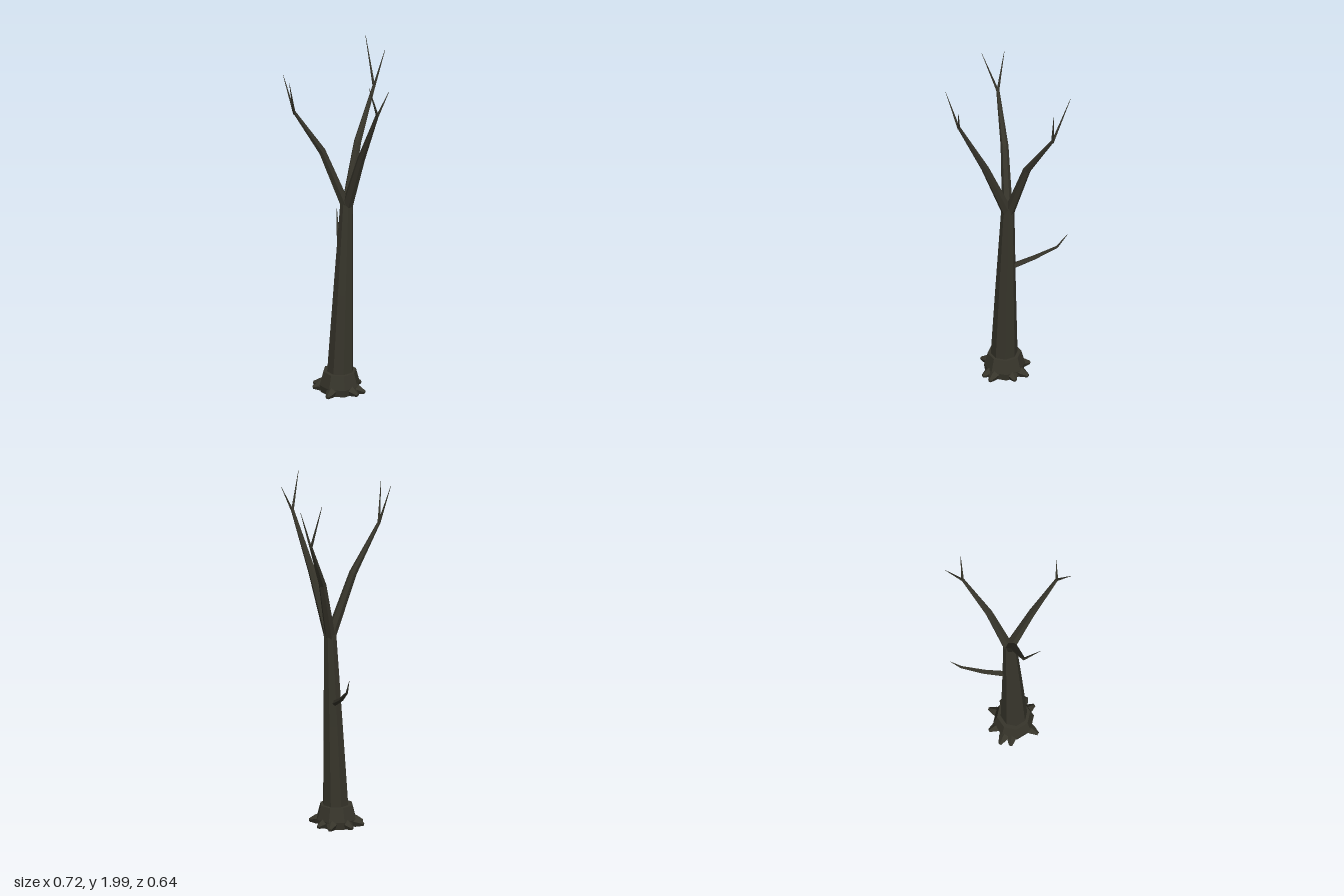
import * as THREE from 'three';

const bark = new THREE.MeshStandardMaterial({ color: 0x37352b });
bark.name = 'darkBark';

// Faceted limb swept through points [x, y, z, radius], capped at both ends
function limb(name, points, sides = 6, ref = new THREE.Vector3(1, 0, 0), phase = 0) {
  const centres = points.map(p => new THREE.Vector3(p[0], p[1], p[2]));
  const last = points.length - 1;
  const positions = [];
  centres.forEach((c, k) => {
    const t = centres[Math.min(k + 1, last)].clone().sub(centres[Math.max(k - 1, 0)]).normalize();
    const u = ref.clone().addScaledVector(t, -ref.dot(t)).normalize();
    const v = t.clone().cross(u);
    for (let i = 0; i < sides; i++) {
      const a = phase + (i / sides) * Math.PI * 2;
      const p = c.clone().addScaledVector(u, Math.cos(a) * points[k][3]).addScaledVector(v, Math.sin(a) * points[k][3]);
      positions.push(p.x, p.y, p.z);
    }
  });
  const index = [];
  for (let k = 0; k < last; k++) {
    for (let i = 0; i < sides; i++) {
      const j = (i + 1) % sides;
      const a = k * sides + i, b = k * sides + j;
      index.push(a, b, b + sides, a, b + sides, a + sides);
    }
  }
  const top = last * sides;
  for (let i = 1; i < sides - 1; i++) {
    index.push(0, i + 1, i, top, top + i, top + i + 1);
  }
  const indexed = new THREE.BufferGeometry();
  indexed.setAttribute('position', new THREE.Float32BufferAttribute(positions, 3));
  indexed.setIndex(index);
  const geometry = indexed.toNonIndexed();
  geometry.computeVertexNormals();
  const mesh = new THREE.Mesh(geometry, bark);
  mesh.name = name;
  return mesh;
}

export function createModel() {
  const tree = new THREE.Group();
  tree.name = 'bareTree';
  const cx = -0.035, cz = -0.028;

  // Leaning, tapering trunk
  tree.add(limb('trunk', [
    [cx, 0.02, cz, 0.08],
    [-0.033, 0.13, -0.025, 0.075],
    [-0.014, 0.6, -0.024, 0.057],
    [0.012, 1.16, -0.024, 0.036],
  ], 8, undefined, Math.PI / 8));

  // Flared collar at the foot
  tree.add(limb('trunkFlare', [
    [cx, 0.008, cz, 0.108],
    [cx, 0.05, cz, 0.115],
    [cx, 0.13, cz, 0.094],
  ], 8, undefined, Math.PI / 8));

  // Short roots spreading from the collar, given by their tips
  const roots = new THREE.Group();
  roots.name = 'roots';
  const up = new THREE.Vector3(0, 1, 0);
  [
    [-0.11, -0.168], [-0.01, -0.175], [0.10, -0.105], [-0.15, -0.122], [-0.175, 0.043],
    [-0.02, 0.118], [0.04, 0.107], [0.105, -0.02],
  ].forEach(([x, z]) => {
    const at = f => [cx + (x - cx) * f, cz + (z - cz) * f];
    const [ix, iz] = at(0.45), [mx, mz] = at(0.75);
    roots.add(limb('root', [
      [ix, 0.04, iz, 0.038],
      [mx, 0.03, mz, 0.027],
      [x, 0.022, z, 0.01],
    ], 5, up));
  });
  tree.add(roots);

  // Three main boughs, each forking into two fine twigs
  const boughs = [
    { name: 'rightBough', path: [[0.006, 1.12, -0.024, 0.03], [-0.12, 1.47, -0.075, 0.022], [-0.28, 1.735, -0.12, 0.009]],
      tips: [[-0.36, 1.955, -0.062], [-0.315, 1.955, -0.18]] },
    { name: 'leftBough', path: [[0.016, 1.12, -0.03, 0.03], [0.13, 1.46, -0.08, 0.022], [0.298, 1.735, -0.15, 0.009]],
      tips: [[0.357, 1.945, -0.126], [0.317, 2.0, -0.254]] },
    { name: 'frontBough', path: [[0.012, 1.12, -0.02, 0.032], [0.006, 1.46, 0.118, 0.022], [-0.003, 1.79, 0.28, 0.009]],
      tips: [[-0.09, 1.99, 0.316], [0.053, 1.927, 0.312]] },
  ];
  for (const { name, path, tips } of boughs) {
    const group = new THREE.Group();
    group.name = name;
    group.add(limb('bough', path));
    const [x, y, z] = path[2];
    for (const tip of tips) group.add(limb('twig', [[x, y - 0.008, z, 0.008], [...tip, 0.001]], 5));
    tree.add(group);
  }

  // Lone side branch low on the back of the trunk
  tree.add(limb('sideBranch', [
    [0.005, 0.73, -0.05, 0.017],
    [0.065, 0.79, -0.16, 0.013],
    [0.133, 0.868, -0.268, 0.007],
    [0.165, 0.956, -0.318, 0.001],
  ], 5));

  return tree;
}
